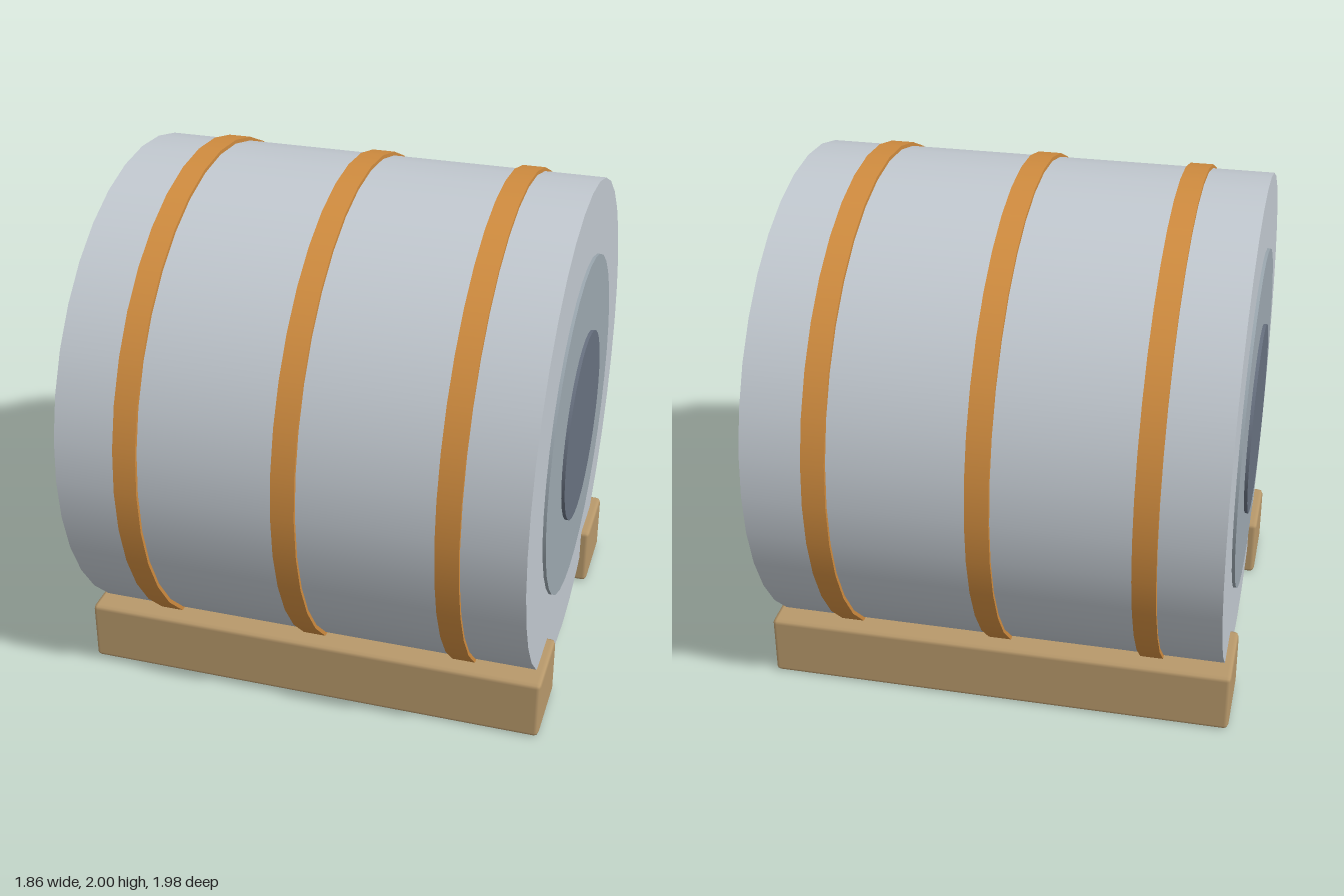
import * as THREE from 'three';
import { RoundedBoxGeometry } from 'three/addons/geometries/RoundedBoxGeometry.js';

const AXIS_Y = 1.01; // height of the coil's axis
const SEGMENTS = 36;

function material(name, color) {
  const m = new THREE.MeshStandardMaterial({ color });
  m.name = name;
  return m;
}

export function createModel() {
  const group = new THREE.Group();
  group.name = 'strappedCoil';

  const steel = material('pale steel', 0xc2c9d0);
  const ringGrey = material('ring grey', 0x9ca8b0);
  const coreGrey = material('dark core grey', 0x687180);
  const strapOrange = material('strap orange', 0xd08c3f);
  const wood = material('timber', 0xb8996b);

  // Round part lying along the x axis
  function drum(name, radius, length, x, mat) {
    const geometry = new THREE.CylinderGeometry(radius, radius, length, SEGMENTS);
    geometry.rotateZ(Math.PI / 2);
    const mesh = new THREE.Mesh(geometry, mat);
    mesh.name = name;
    mesh.position.set(x, AXIS_Y, 0);
    group.add(mesh);
  }

  // Main coil
  drum('coilBody', 0.975, 1.79, 0, steel);

  // Raised discs at both ends
  for (const side of [-1, 1]) {
    const label = side > 0 ? 'left' : 'right';
    drum(`${label}EndRing`, 0.68, 0.03, side * 0.892, ringGrey);
    drum(`${label}Core`, 0.38, 0.04, side * 0.9, coreGrey);
  }

  // Three straps around the coil
  [-0.61, 0, 0.61].forEach((x, i) => drum(`strap${i + 1}`, 0.99, 0.09, x, strapOrange));

  // Two chamfered timber bearers underneath
  for (const side of [-1, 1]) {
    const bearer = new THREE.Mesh(new RoundedBoxGeometry(1.86, 0.25, 0.32, 1, 0.018), wood);
    bearer.name = side > 0 ? 'frontBearer' : 'backBearer';
    bearer.position.set(0, 0.125, side * 0.55);
    group.add(bearer);
  }

  return group;
}
